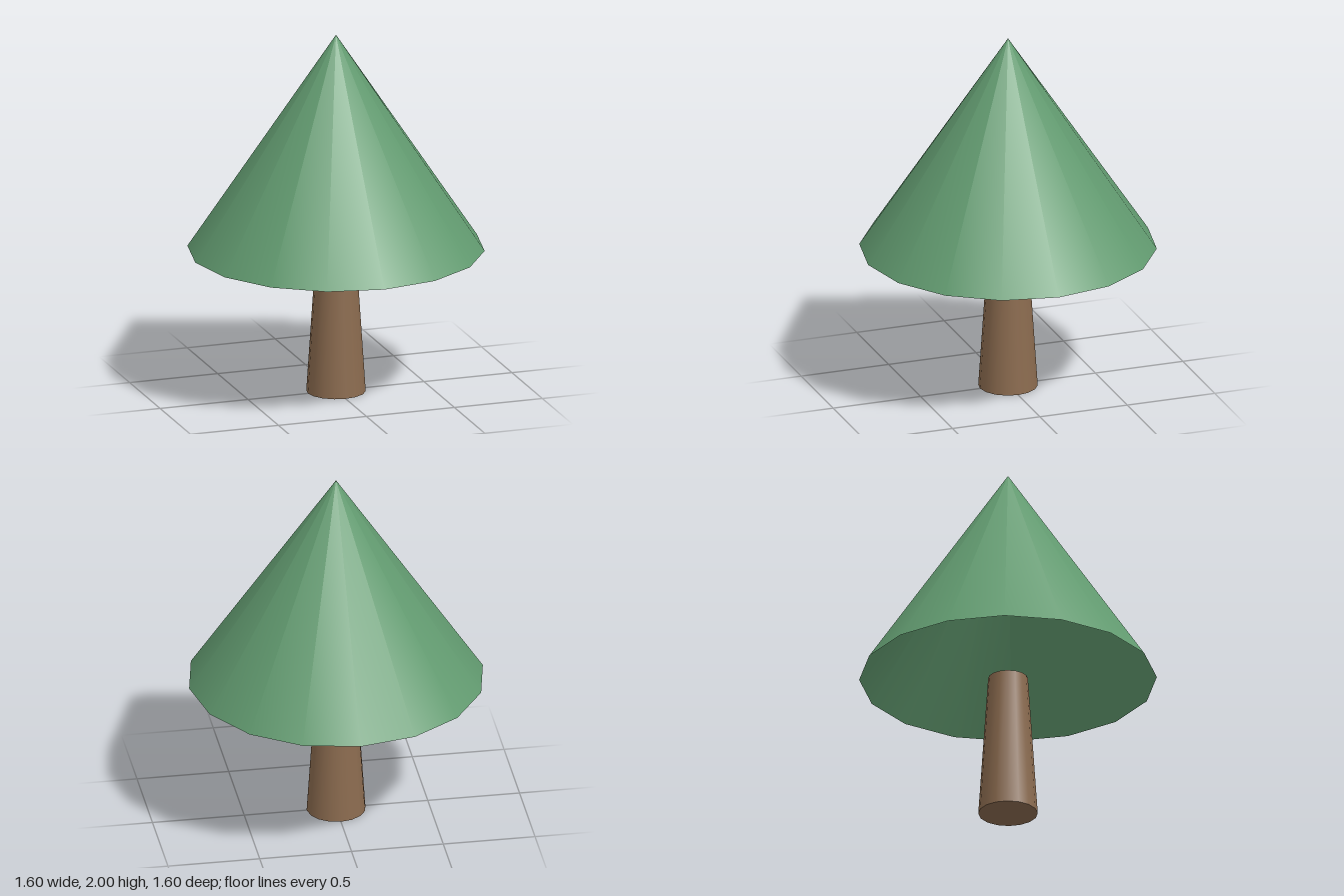
import * as THREE from 'three';

const SIDES = 16;

export function createModel() {
  const tree = new THREE.Group();
  tree.name = 'tree';

  // Tapered trunk, closed at both ends
  const trunk = new THREE.Mesh(
    new THREE.CylinderGeometry(0.107, 0.16, 0.8, SIDES),
    new THREE.MeshStandardMaterial({ color: 0x8b6b4f })
  );
  trunk.name = 'trunk';
  trunk.position.y = 0.4;
  tree.add(trunk);

  // Hollow cone of foliage, open underneath
  const foliage = new THREE.Mesh(
    new THREE.ConeGeometry(0.8, 1.2, SIDES, 1, true),
    new THREE.MeshStandardMaterial({ color: 0x629b70, side: THREE.DoubleSide })
  );
  foliage.name = 'foliage';
  foliage.position.y = 1.4;
  tree.add(foliage);

  return tree;
}
